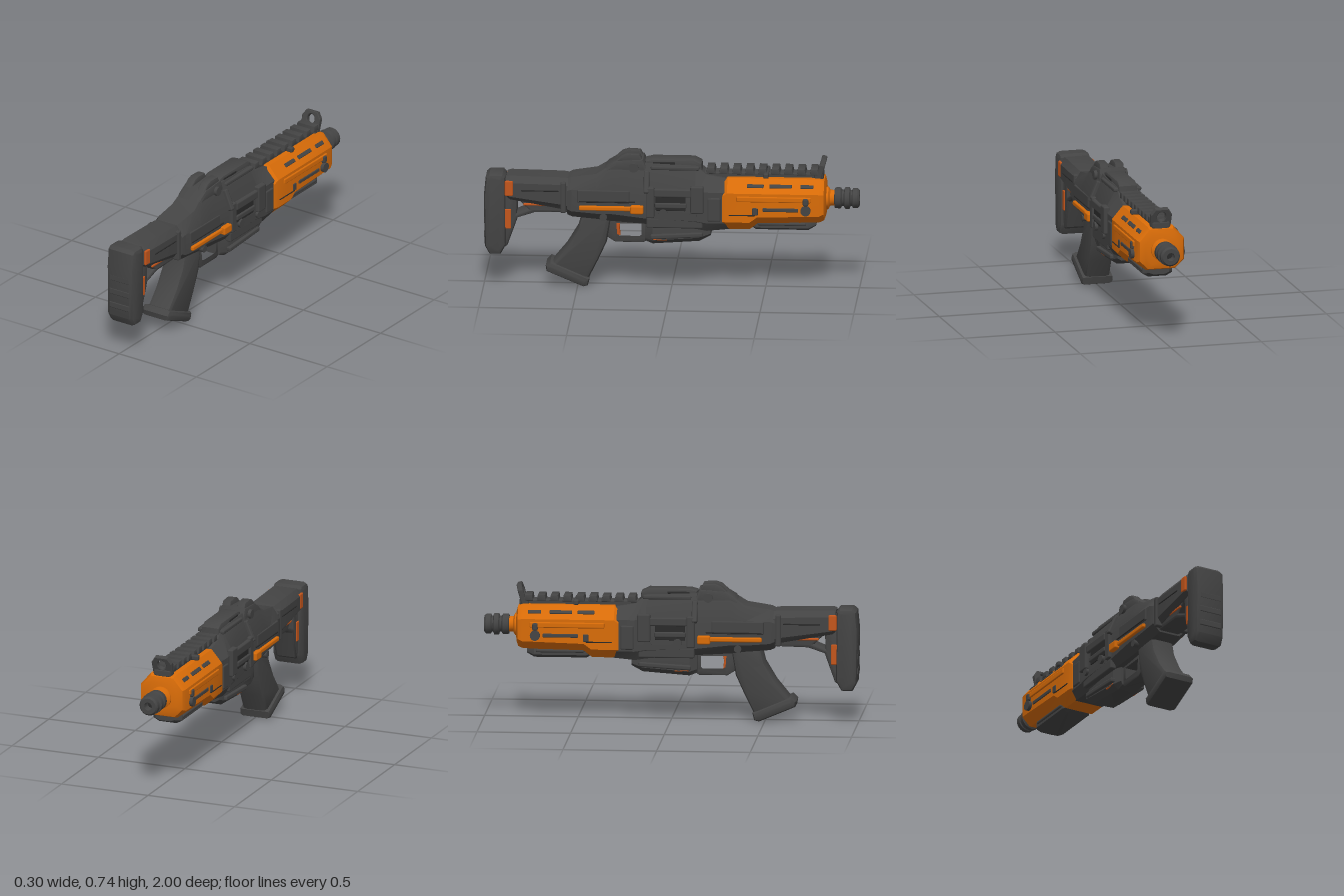
import * as THREE from 'three';
import { toCreasedNormals } from 'three/addons/utils/BufferGeometryUtils.js';
import { RoundedBoxGeometry } from 'three/addons/geometries/RoundedBoxGeometry.js';

const material = (name, color) => {
  const m = new THREE.MeshStandardMaterial({ color });
  m.name = name;
  return m;
};

export function createModel() {
  const model = new THREE.Group();
  model.name = 'blaster';
  const grey = material('dark grey', 0x444444);
  const black = material('shadow black', 0x2a2a2a);
  const orange = material('orange', 0xd96c08);
  const rust = material('burnt orange', 0xc4561c);

  const add = (name, geometry, mat) => {
    const mesh = new THREE.Mesh(geometry, mat);
    mesh.name = name;
    model.add(mesh);
    return mesh;
  };

  // Side profile of [z, y] points, extruded to half width w with bevelled edges
  const profile = (name, mat, points, w, bevel = 0.015, hole = null) => {
    const toVec = (p) => new THREE.Vector2(p[0], p[1]);
    const shape = new THREE.Shape(points.map(toVec));
    if (hole) shape.holes.push(new THREE.Path(hole.map(toVec)));
    const depth = 2 * (w - bevel);
    const g = new THREE.ExtrudeGeometry(shape, {
      depth, bevelEnabled: true, bevelSize: bevel, bevelThickness: bevel, bevelOffset: -bevel, bevelSegments: 2,
    });
    g.translate(0, 0, -depth / 2).rotateY(-Math.PI / 2);
    return add(name, toCreasedNormals(g, 0.6), mat);
  };

  // Eight-sided body; rows run back to front: [z, bottom, lower edge, upper edge, top, half width, top half, bottom half]
  const loft = (name, mat, rows) => {
    const rings = rows.map(([z, y0, yl, yh, y1, w, wt, wb]) =>
      [[wb, y0], [w, yl], [w, yh], [wt, y1], [-wt, y1], [-w, yh], [-w, yl], [-wb, y0]].map(([x, y]) => [x, y, z]));
    const pos = [];
    const tri = (a, b, c) => pos.push(...a, ...b, ...c);
    for (let r = 0; r + 1 < rings.length; r++) {
      const a = rings[r], b = rings[r + 1];
      for (let i = 0; i < 8; i++) {
        const j = (i + 1) % 8;
        tri(a[i], b[i], b[j]);
        tri(a[i], b[j], a[j]);
      }
    }
    const back = rings[0], front = rings[rings.length - 1];
    for (let i = 1; i < 7; i++) {
      tri(back[0], back[i], back[i + 1]);
      tri(front[0], front[i + 1], front[i]);
    }
    const g = new THREE.BufferGeometry();
    g.setAttribute('position', new THREE.Float32BufferAttribute(pos, 3));
    return add(name, toCreasedNormals(g, 0.5), mat);
  };

  const box = (name, mat, [x, y, z], [dx, dy, dz], r = 0.008) => {
    const radius = Math.min(r, dx / 2.2, dy / 2.2, dz / 2.2);
    const mesh = add(name, new RoundedBoxGeometry(dx, dy, dz, 1, radius), mat);
    mesh.position.set(x, y, z);
    return mesh;
  };
  // The same box on both sides, tilted about z and x if needed
  const pair = (name, mat, [x, y, z], size, tilt = 0, pitch = 0) => {
    for (const s of [1, -1]) {
      box(name, mat, [s * x, y, z], size).rotation.set(pitch, 0, s * tilt);
    }
  };
  const knobs = (name, mat, x, y, z, radius, depth) => {
    for (const s of [1, -1]) {
      const g = new THREE.CylinderGeometry(radius, radius, depth, 14).rotateZ(Math.PI / 2);
      add(name, g, mat).position.set(s * x, y, z);
    }
  };

  // Shoulder stock
  profile('buttPad', grey, [[0.99, 0.6], [1, 0.5], [0.995, 0.22], [0.97, 0.175], [0.91, 0.175], [0.88, 0.23],
    [0.885, 0.6], [0.9, 0.617], [0.97, 0.617]], 0.086, 0.025);
  profile('stockFrame', grey, [[0.92, 0.19], [0.875, 0.22], [0.82, 0.375], [0.73, 0.405], [0.55, 0.41], [0.55, 0.56],
    [0.84, 0.59], [0.92, 0.59]], 0.065, 0.015, [[0.825, 0.4], [0.822, 0.48], [0.765, 0.425]]);
  loft('stockTube', grey, [[0.88, 0.49, 0.51, 0.57, 0.605, 0.088, 0.06, 0.06],
    [0.86, 0.48, 0.5, 0.575, 0.61, 0.092, 0.065, 0.07], [0.58, 0.43, 0.46, 0.57, 0.605, 0.092, 0.065, 0.07],
    [0.54, 0.42, 0.45, 0.56, 0.6, 0.09, 0.06, 0.07]]);
  pair('stockUpperInlay', rust, [0.088, 0.545, 0.865], [0.016, 0.085, 0.045]);
  pair('stockLowerInlay', rust, [0.065, 0.37, 0.872], [0.012, 0.11, 0.035]);
  pair('stockStripe', rust, [0.064, 0.452, 0.73], [0.012, 0.014, 0.12]);
  pair('stockGroove', black, [0.091, 0.535, 0.7], [0.008, 0.008, 0.2]);
  pair('stockClamp', grey, [0.08, 0.5, 0.575], [0.04, 0.17, 0.03]);
  for (const y of [0.28, 0.36, 0.44]) box('buttRidge', grey, [0, y, 0.994], [0.13, 0.035, 0.012]);

  // Receiver
  loft('receiver', grey, [
    [0.555, 0.4, 0.44, 0.54, 0.6, 0.1, 0.06, 0.06], [0.53, 0.39, 0.43, 0.55, 0.61, 0.108, 0.07, 0.065],
    [0.4, 0.38, 0.42, 0.55, 0.63, 0.112, 0.072, 0.07], [0.32, 0.37, 0.42, 0.57, 0.68, 0.112, 0.065, 0.07],
    [0.14, 0.36, 0.4, 0.56, 0.69, 0.115, 0.06, 0.08], [-0.13, 0.34, 0.39, 0.56, 0.68, 0.12, 0.055, 0.09],
    [-0.19, 0.33, 0.38, 0.55, 0.63, 0.12, 0.055, 0.09], [-0.31, 0.34, 0.38, 0.55, 0.61, 0.115, 0.06, 0.08]]);
  loft('lowerHousing', grey, [
    [0.14, 0.26, 0.28, 0.36, 0.4, 0.06, 0.06, 0.05], [0.1, 0.245, 0.27, 0.36, 0.4, 0.085, 0.08, 0.055],
    [-0.15, 0.265, 0.29, 0.37, 0.41, 0.09, 0.08, 0.06], [-0.21, 0.295, 0.31, 0.37, 0.41, 0.075, 0.07, 0.05]]);
  pair('lowerRail', grey, [0.088, 0.3, -0.03], [0.03, 0.026, 0.28], 0, 0.06);
  pair('lowerRidge', grey, [0.1, 0.375, -0.02], [0.035, 0.055, 0.3]);
  pair('lowerInlay', rust, [0.08, 0.275, 0.06], [0.012, 0.012, 0.08]);
  pair('orangeStripe', orange, [0.116, 0.452, 0.33], [0.022, 0.026, 0.32]);
  pair('orangeLatch', orange, [0.123, 0.45, 0.18], [0.036, 0.045, 0.07]);
  pair('verticalBand', grey, [0.112, 0.49, 0.11], [0.04, 0.17, 0.045]);
  pair('upperBand', grey, [0.098, 0.595, 0.13], [0.04, 0.12, 0.03], 0.4);
  pair('sidePort', black, [0.119, 0.5, 0], [0.008, 0.11, 0.16]);
  pair('portBolt', grey, [0.117, 0.545, -0.01], [0.035, 0.045, 0.2]);
  pair('portLowerBar', grey, [0.12, 0.475, 0], [0.025, 0.03, 0.17]);
  pair('portFrame', grey, [0.122, 0.51, -0.14], [0.035, 0.15, 0.07]);
  pair('frontCollar', grey, [0.116, 0.455, -0.23], [0.02, 0.13, 0.07]);
  pair('rearPanel', grey, [0.11, 0.515, 0.36], [0.014, 0.07, 0.28]);
  pair('rearGroove', black, [0.114, 0.488, 0.34], [0.01, 0.008, 0.3]);
  knobs('receiverPin', grey, 0.118, 0.43, 0.04, 0.024, 0.03);
  knobs('frontPin', grey, 0.116, 0.42, -0.12, 0.02, 0.036);
  knobs('gripPin', grey, 0.098, 0.4, 0.36, 0.02, 0.03);

  // Pistol grip, guard and trigger
  profile('grip', grey, [[0.48, 0.4], [0.5, 0.32], [0.56, 0.22], [0.65, 0.11], [0.45, 0.03], [0.39, 0.15],
    [0.345, 0.25], [0.32, 0.4]], 0.07, 0.025);
  profile('gripBase', grey, [[0.645, 0.14], [0.67, 0.115], [0.665, 0.085], [0.47, 0.003], [0.445, 0.01], [0.435, 0.05]], 0.088, 0.022);
  profile('triggerGuard', grey, [[0.36, 0.38], [0.34, 0.27], [0.3, 0.245], [0.15, 0.245], [0.11, 0.27], [0.11, 0.38]],
    0.045, 0.01, [[0.305, 0.36], [0.3, 0.285], [0.28, 0.272], [0.165, 0.272], [0.15, 0.285], [0.15, 0.36]]);
  profile('trigger', rust, [[0.32, 0.37], [0.305, 0.31], [0.3, 0.28], [0.275, 0.275], [0.28, 0.32], [0.27, 0.37]], 0.02, 0.006);

  // Rear sight and top cover
  profile('sightBase', grey, [[0.39, 0.62], [0.34, 0.675], [0.29, 0.705], [0.15, 0.715], [0.12, 0.64]], 0.075, 0.018);
  for (const s of [1, -1]) {
    const post = profile('sightPost', grey, [[0.31, 0.69], [0.265, 0.73], [0.235, 0.74], [0.17, 0.737], [0.145, 0.69]], 0.024, 0.008);
    post.position.x = s * 0.042;
  }
  knobs('sightKnob', grey, 0.08, 0.67, 0.2, 0.025, 0.024);
  profile('topCover', grey, [[0.14, 0.66], [0.14, 0.7], [0.1, 0.71], [-0.12, 0.71], [-0.16, 0.69], [-0.165, 0.64]], 0.052, 0.014);
  pair('coverSlot', black, [0.05, 0.69, 0.04], [0.01, 0.014, 0.12]);
  pair('coverRail', grey, [0.062, 0.667, -0.02], [0.03, 0.022, 0.26]);

  // Top rail with teeth
  box('railBase', grey, [0, 0.625, -0.49], [0.08, 0.035, 0.64]);
  for (let i = 0; i < 9; i++) {
    profile('railTooth', grey, [[0.025, 0], [0.02, 0.034], [-0.018, 0.034], [-0.025, 0]], 0.056, 0.006)
      .position.set(0, 0.635, -0.21 - i * 0.069);
  }
  box('railClamp', grey, [0, 0.635, -0.505], [0.17, 0.028, 0.03]);

  // Front ring sight, leaning forward
  const ring = new THREE.Shape([[-0.055, 0], [0.055, 0], [0.058, 0.07], [0.035, 0.105], [-0.035, 0.105], [-0.058, 0.07]]
    .map((p) => new THREE.Vector2(...p)));
  ring.holes.push(new THREE.Path().absellipse(0, 0.06, 0.024, 0.027, 0, Math.PI * 2, true));
  const ringGeometry = new THREE.ExtrudeGeometry(ring, {
    depth: 0.02, bevelSize: 0.004, bevelThickness: 0.004, bevelOffset: -0.004, bevelSegments: 1, curveSegments: 8 });
  const frontSight = add('frontSight', ringGeometry, grey);
  frontSight.position.set(0, 0.62, -0.795);
  frontSight.rotation.x = -0.28;
  box('frontSightFoot', grey, [0, 0.63, -0.785], [0.1, 0.035, 0.05]);

  // Orange handguard
  loft('handguard', orange, [
    [-0.275, 0.342, 0.39, 0.53, 0.59, 0.122, 0.07, 0.075], [-0.3, 0.34, 0.39, 0.55, 0.62, 0.13, 0.07, 0.08],
    [-0.42, 0.342, 0.39, 0.55, 0.62, 0.13, 0.07, 0.08], [-0.46, 0.372, 0.42, 0.55, 0.62, 0.13, 0.07, 0.08],
    [-0.79, 0.385, 0.43, 0.55, 0.62, 0.13, 0.07, 0.08], [-0.815, 0.395, 0.44, 0.545, 0.61, 0.12, 0.065, 0.075],
    [-0.825, 0.42, 0.46, 0.53, 0.58, 0.09, 0.05, 0.055]]);
  const slope = Math.atan2(0.06, 0.07);
  for (const [z, length] of [[-0.45, 0.09], [-0.585, 0.12], [-0.725, 0.07]]) {
    pair('upperVent', grey, [0.1, 0.585, z], [0.009, 0.022, length], slope);
  }
  pair('sideRail', orange, [0.131, 0.52, -0.55], [0.014, 0.03, 0.4]);
  pair('sideVent', grey, [0.131, 0.463, -0.585], [0.009, 0.02, 0.19]);
  pair('rearVent', grey, [0.131, 0.452, -0.45], [0.009, 0.04, 0.03]);
  pair('lowerSeam', black, [0.131, 0.43, -0.38], [0.006, 0.006, 0.14]);
  knobs('handguardBolt', grey, 0.133, 0.463, -0.72, 0.027, 0.03);
  pair('sideLug', grey, [0.132, 0.51, -0.72], [0.03, 0.04, 0.03]);

  // Foregrip plate under the handguard
  loft('foregrip', grey, [
    [-0.415, 0.352, 0.36, 0.375, 0.395, 0.05, 0.04, 0.03], [-0.45, 0.333, 0.35, 0.375, 0.4, 0.082, 0.07, 0.05],
    [-0.73, 0.333, 0.35, 0.375, 0.4, 0.082, 0.07, 0.05], [-0.77, 0.352, 0.362, 0.378, 0.4, 0.055, 0.045, 0.03]]);
  pair('foregripRidge', grey, [0.078, 0.372, -0.59], [0.022, 0.018, 0.26]);

  // Barrel and ringed muzzle, turned about the bore
  const turned = (name, mat, points) => {
    const g = new THREE.LatheGeometry(points.map((p) => new THREE.Vector2(...p)), 20);
    add(name, toCreasedNormals(g.rotateX(-Math.PI / 2), 0.6), mat).position.y = 0.5;
  };
  turned('barrel', orange, [[0.06, 0.8], [0.06, 0.835], [0.042, 0.845], [0.042, 0.88]]);
  turned('muzzle', grey, [[0.03, 0.865], [0.052, 0.868], [0.056, 0.875], [0.056, 0.9], [0.043, 0.908], [0.043, 0.917],
    [0.058, 0.923], [0.058, 0.947], [0.043, 0.953], [0.043, 0.96], [0.053, 0.965], [0.053, 0.99], [0.044, 1],
    [0.022, 1], [0.02, 0.95]]);
  turned('bore', black, [[0.022, 0.955], [0, 0.956]]);
  return model;
}
